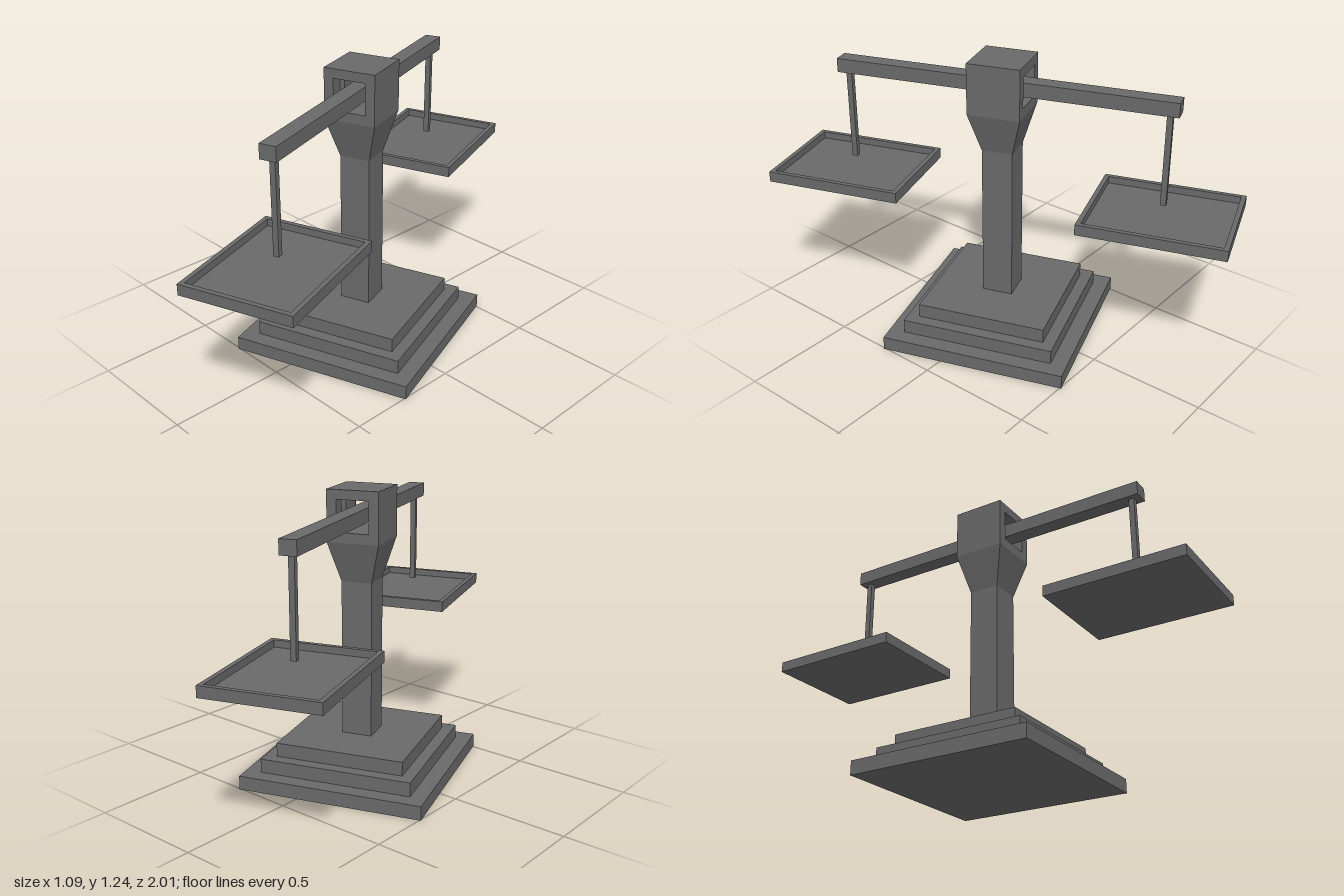
import * as THREE from 'three';

export function createModel() {
  const stone = new THREE.MeshStandardMaterial({ color: 0x696969 });
  stone.name = 'darkGrey';
  const model = new THREE.Group();
  model.name = 'balanceScale';
  const body = new THREE.Group();
  body.name = 'scaleBody';
  body.rotation.y = 0.333; // the whole scale stands turned on its axis
  model.add(body);

  const add = (name, geometry, x, y, z, parent = body) => {
    const mesh = new THREE.Mesh(geometry, stone);
    mesh.name = name;
    mesh.position.set(x, y, z);
    parent.add(mesh);
    return mesh;
  };
  // Box given by its bottom and top heights
  const slab = (name, w, d, y0, y1, x = 0, z = 0, parent = body) =>
    add(name, new THREE.BoxGeometry(w, y1 - y0, d), x, (y0 + y1) / 2, z, parent);
  // Rectangle outline, as a shape or a hole
  const rect = (Kind, x0, y0, x1, y1) => {
    const r = new Kind();
    r.moveTo(x0, y0);
    r.lineTo(x1, y0);
    r.lineTo(x1, y1);
    r.lineTo(x0, y1);
    r.closePath();
    return r;
  };

  // Stepped base
  [0.796, 0.66, 0.558].forEach((size, i) =>
    slab('baseStep' + (i + 1), size, size, i * 0.06, (i + 1) * 0.06));

  // Square column that flares out to the head
  slab('column', 0.132, 0.132, 0.18, 0.85);
  const flare = new THREE.CylinderGeometry(
    0.112 * Math.SQRT2, 0.066 * Math.SQRT2, 0.17, 4, 1, true, Math.PI / 4).toNonIndexed();
  flare.computeVertexNormals();
  add('columnFlare', flare, 0, 0.935, 0);

  // Head with a square opening for the beam
  const headShape = rect(THREE.Shape, -0.112, 1.02, 0.112, 1.236);
  headShape.holes.push(rect(THREE.Path, -0.07, 1.062, 0.07, 1.196));
  add('head', new THREE.ExtrudeGeometry(headShape, { depth: 0.224, bevelEnabled: false }), 0, 0, -0.112);

  // Cheeks inside the opening, either side of the beam
  for (const s of [-1, 1]) slab('cheek', 0.02, 0.11, 1.062, 1.196, s * 0.06, 0);

  slab('beam', 0.07, 1.446, 1.095, 1.155);

  // Hanging rods and rimmed pans at both ends
  for (const s of [-1, 1]) {
    const side = new THREE.Group();
    side.name = s > 0 ? 'frontPanAssembly' : 'backPanAssembly';
    side.position.z = s * 0.683;
    body.add(side);
    slab('rod', 0.024, 0.024, 0.703, 1.095, 0, 0, side);
    slab('panFloor', 0.434, 0.56, 0.631, 0.647, 0, 0, side);
    const rim = rect(THREE.Shape, -0.237, -0.299, 0.237, 0.299);
    rim.holes.push(rect(THREE.Path, -0.217, -0.279, 0.217, 0.279));
    add('panRim', new THREE.ExtrudeGeometry(rim, { depth: 0.046, bevelEnabled: false }),
      0, 0.631, 0, side).rotation.x = -Math.PI / 2;
  }
  return model;
}
